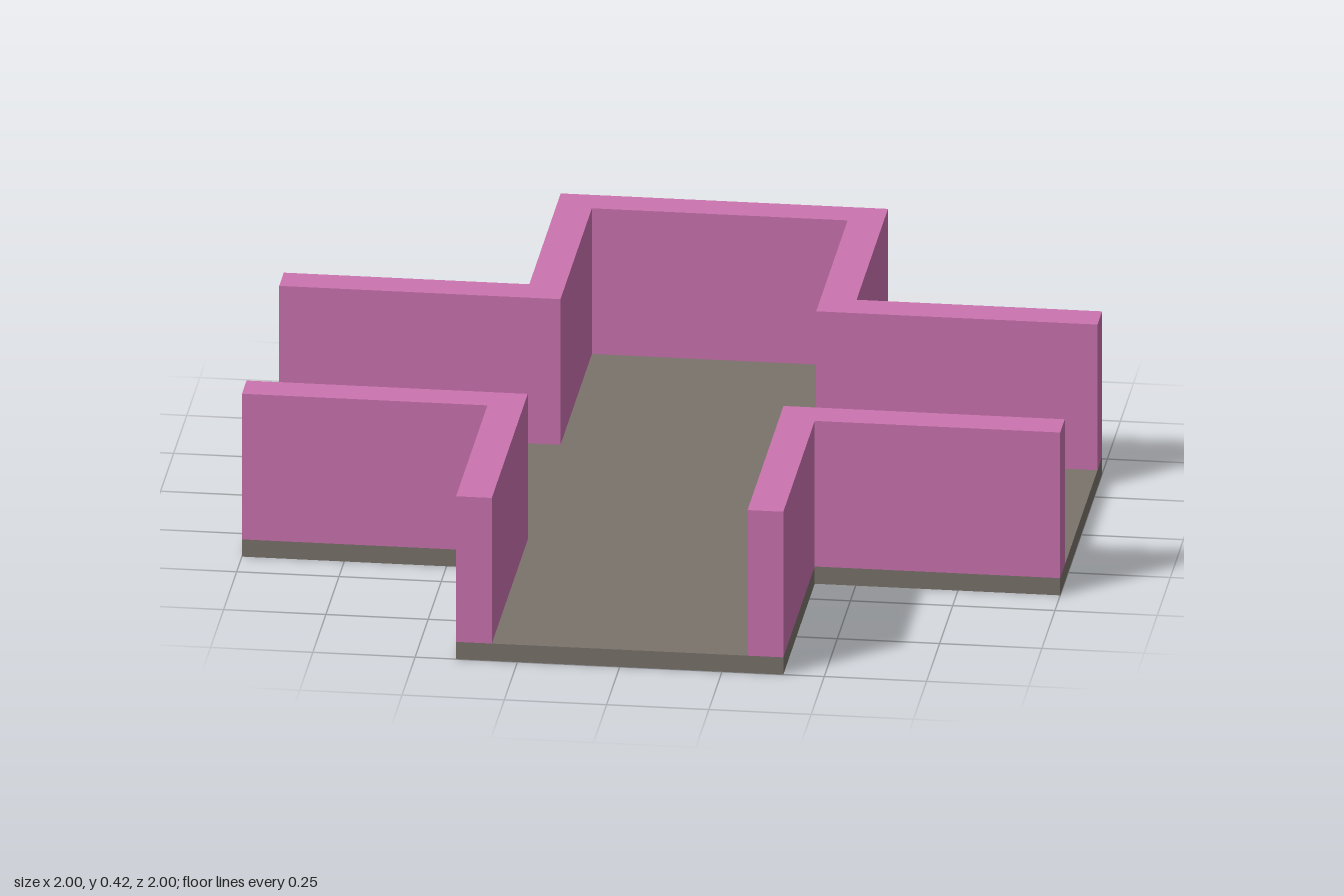
import * as THREE from 'three';

const ARM = 0.4;          // half width of each corridor arm
const INNER = 0.3125;     // half width between the walls
const BACK = 0.9125;      // inner face of the closed end
const FLOOR_TOP = 0.045;
const WALL_TOP = 0.425;

// Extrudes a plan outline of [x, z] points upward from y0 to y1
function slab(name, plan, y0, y1, material) {
  const shape = new THREE.Shape(plan.map(([x, z]) => new THREE.Vector2(x, -z)));
  const geometry = new THREE.ExtrudeGeometry(shape, { depth: y1 - y0, bevelEnabled: false });
  geometry.rotateX(-Math.PI / 2);
  geometry.translate(0, y0, 0);
  const mesh = new THREE.Mesh(geometry, material);
  mesh.name = name;
  return mesh;
}

export function createModel() {
  const group = new THREE.Group();
  group.name = 'crossCorridor';
  const floorMaterial = new THREE.MeshStandardMaterial({ color: 0x7a736c });
  const wallMaterial = new THREE.MeshStandardMaterial({ color: 0xcb73b0 });

  // Cross-shaped floor
  group.add(slab('floor', [
    [-1, -ARM], [-ARM, -ARM], [-ARM, -1], [ARM, -1], [ARM, -ARM], [1, -ARM],
    [1, ARM], [ARM, ARM], [ARM, 1], [-ARM, 1], [-ARM, ARM], [-1, ARM],
  ], 0, FLOOR_TOP, floorMaterial));

  // Continuous wall around the closed back arm
  group.add(slab('backWall', [
    [-1, -ARM], [-ARM, -ARM], [-ARM, -1], [ARM, -1], [ARM, -ARM], [1, -ARM],
    [1, -INNER], [INNER, -INNER], [INNER, -BACK],
    [-INNER, -BACK], [-INNER, -INNER], [-1, -INNER],
  ], FLOOR_TOP, WALL_TOP, wallMaterial));

  // Mirrored corner walls beside the open front arm
  for (const [name, s] of [['frontLeftWall', 1], ['frontRightWall', -1]]) {
    group.add(slab(name, [
      [s, INNER], [s, ARM], [s * ARM, ARM],
      [s * ARM, 1], [s * INNER, 1], [s * INNER, INNER],
    ], FLOOR_TOP, WALL_TOP, wallMaterial));
  }
  return group;
}
